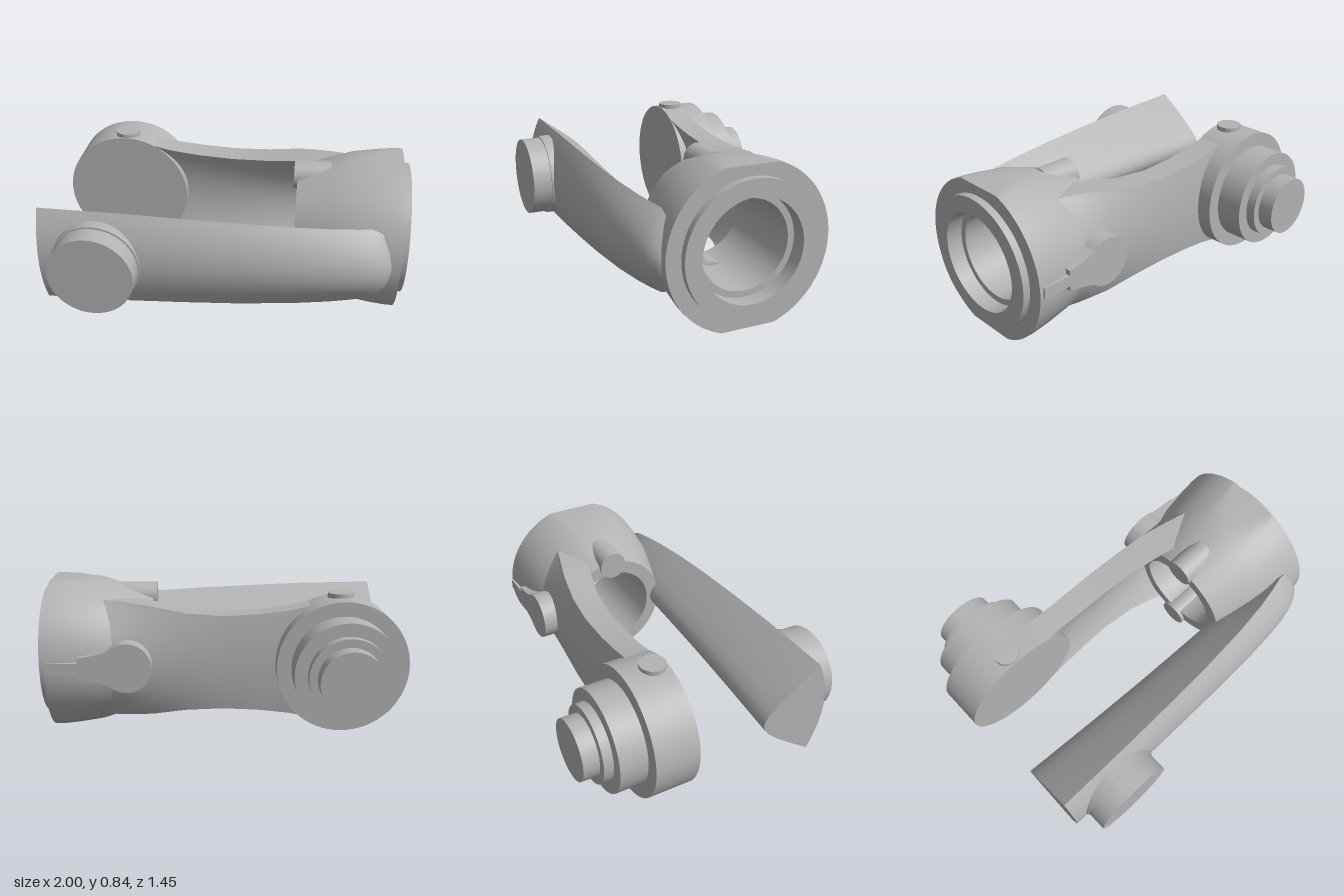
import * as THREE from 'three';
import { toCreasedNormals } from 'three/addons/utils/BufferGeometryUtils.js';

const CY = 0.425; // height of the main axis
const HUB_Z = 0.025; // bore axis
const PIVOT_X = -0.64; // fork pivot axis

// Skin closed sections lying in planes of constant x.
// front(s, t) and back(s, t) give z across the height, t from -1 to 1.
function loft(stations, front, back, n = 28) {
  const pos = [];
  const rows = stations.map((s) => {
    const f = [], b = [];
    for (let j = 0; j <= n; j++) {
      const t = -1 + (2 * j) / n;
      f.push([s.x, CY + s.h * t, front(s, t)]);
      b.push([s.x, CY + s.h * t, back(s, t)]);
    }
    return { f, b };
  });
  const quad = (a, b, c, d) => pos.push(...a, ...b, ...c, ...a, ...c, ...d);
  const last = rows.length - 1;
  for (let i = 0; i < last; i++) {
    const p = rows[i], q = rows[i + 1];
    for (let j = 0; j < n; j++) {
      quad(p.f[j], q.f[j], q.f[j + 1], p.f[j + 1]);
      quad(p.b[j], p.b[j + 1], q.b[j + 1], q.b[j]);
    }
    // top and bottom edge walls
    quad(p.f[n], q.f[n], q.b[n], p.b[n]);
    quad(p.f[0], p.b[0], q.b[0], q.f[0]);
  }
  for (let j = 0; j < n; j++) {
    const p = rows[0], q = rows[last];
    quad(p.f[j], p.f[j + 1], p.b[j + 1], p.b[j]);
    quad(q.f[j], q.b[j], q.b[j + 1], q.f[j + 1]);
  }
  const g = new THREE.BufferGeometry();
  g.setAttribute('position', new THREE.Float32BufferAttribute(pos, 3));
  return toCreasedNormals(g, 0.5);
}

export function createModel() {
  const model = new THREE.Group();
  model.name = 'forkedJoint';
  const metal = new THREE.MeshStandardMaterial({ color: 0xb3b3b3 });
  metal.name = 'grey metal';

  const add = (name, geometry) => {
    const mesh = new THREE.Mesh(geometry, metal);
    mesh.name = name;
    model.add(mesh);
    return mesh;
  };
  // Cylinder along z between two depths
  const discZ = (name, r, z0, z1, x = PIVOT_X) => {
    const g = new THREE.CylinderGeometry(r, r, Math.abs(z1 - z0), 64);
    g.rotateX(Math.PI / 2);
    add(name, g).position.set(x, CY, (z0 + z1) / 2);
  };

  // Hub: turned sleeve with counterbore and collar, flattened top and bottom
  const profile = [
    [0.24, 0.39], [0.315, 0.39], [0.355, 0.5], [0.387, 0.6], [0.415, 0.69],
    [0.436, 0.83], [0.445, 0.92], [0.445, 0.96], [0.365, 0.96], [0.365, 1],
    [0.275, 1], [0.275, 0.91], [0.24, 0.91], [0.24, 0.39],
  ].map(([r, x]) => new THREE.Vector2(r, x));
  const hub = new THREE.LatheGeometry(profile, 128);
  hub.rotateZ(-Math.PI / 2);
  const hp = hub.attributes.position;
  for (let i = 0; i < hp.count; i++) {
    hp.setY(i, THREE.MathUtils.clamp(hp.getY(i), -0.42, 0.42));
  }
  add('hub', toCreasedNormals(hub, 0.4)).position.set(0, CY, HUB_Z);

  // Front arm: lens section with flared inner side, rounding into the hub
  // columns: x, half height, outer z, sharp edge z, inner z
  const frontStations = [
    [-0.95, 0.287, 0.602, 0.53, 0.22], [-0.5, 0.281, 0.602, 0.526, 0.25],
    [-0.2, 0.27, 0.602, 0.52, 0.267], [0.1, 0.258, 0.602, 0.51, 0.28],
    [0.4, 0.243, 0.597, 0.49, 0.29], [0.6, 0.232, 0.585, 0.465, 0.3],
    [0.72, 0.225, 0.57, 0.442, 0.31], [0.8, 0.219, 0.552, 0.422, 0.32],
    [0.85, 0.195, 0.532, 0.42, 0.33], [0.89, 0.145, 0.505, 0.42, 0.35],
    [0.91, 0.09, 0.475, 0.415, 0.37], [0.92, 0.02, 0.43, 0.41, 0.39],
  ].map(([x, h, out, edge, inn]) => ({ x, h, out, edge, inn }));
  const flare = (t) => (Math.hypot(0.3, t) - 0.3) / (Math.hypot(0.3, 1) - 0.3);
  add('frontArm', loft(
    frontStations,
    (s, t) => s.out + (s.edge - s.out) * t * t,
    (s, t) => s.inn + (s.edge - s.inn) * flare(t),
  ));

  // Front pivot stub
  discZ('frontPivotCollar', 0.24, 0.5, 0.612);
  discZ('frontPivot', 0.23, 0.5, 0.72);

  // Rear arm: waisted curved plate with a hollow inner side
  // columns: x, half height, outer z, outer edge z, inner edge z, hollow z
  const rearStations = [
    [-0.55, 0.335, -0.35, -0.33, -0.192, -0.25], [-0.46, 0.312, -0.35, -0.33, -0.192, -0.25],
    [-0.36, 0.291, -0.35, -0.33, -0.192, -0.25], [-0.2, 0.272, -0.35, -0.332, -0.191, -0.25],
    [0, 0.262, -0.35, -0.33, -0.187, -0.25], [0.2, 0.274, -0.35, -0.315, -0.165, -0.255],
    [0.39, 0.307, -0.35, -0.284, -0.12, -0.265], [0.55, 0.325, -0.358, -0.24, -0.07, -0.27],
    [0.7, 0.33, -0.37, -0.2, -0.02, -0.28],
  ].map(([x, h, out, edge, lip, hollow]) => ({ x, h, out, edge, lip, hollow }));
  add('rearArm', loft(
    rearStations,
    (s, t) => s.hollow + (s.lip - s.hollow) * t * t,
    (s, t) => s.out + (s.edge - s.out) * t * t,
  ));

  // Rear pivot: stepped discs
  [
    ['rearPivotDisc', 0.357, -0.19, -0.435], ['rearPivotStep', 0.279, -0.42, -0.587],
    ['rearPivotRing', 0.21, -0.57, -0.64], ['rearPivotStub', 0.166, -0.62, -0.728],
  ].forEach(([name, r, z0, z1]) => discZ(name, r, z0, z1));

  for (const side of [1, -1]) {
    // Small plugs above and below the rear disc
    add('pivotPlug', new THREE.CylinderGeometry(0.07, 0.07, 0.08, 40))
      .position.set(PIVOT_X, CY + side * 0.337, -0.265);

    // Round bosses along the hub
    const boss = new THREE.CylinderGeometry(0.08, 0.08, 0.2, 40);
    boss.rotateZ(Math.PI / 2);
    add('hubBoss', boss).position.set(0.47, CY + side * 0.305, HUB_Z);
  }

  // Keyhole-shaped pad on the back of the hub
  const pad = new THREE.Shape();
  pad.moveTo(0.61, -0.1);
  pad.quadraticCurveTo(0.68, -0.07, 0.78, -0.06);
  pad.lineTo(0.78, -0.03);
  pad.lineTo(0.94, -0.03);
  pad.lineTo(0.94, 0.03);
  pad.lineTo(0.78, 0.03);
  pad.lineTo(0.78, 0.06);
  pad.quadraticCurveTo(0.68, 0.07, 0.61, 0.1);
  pad.absarc(0.52, 0, 0.135, 0.84, Math.PI * 2 - 0.84, false);
  add('rearPad', toCreasedNormals(new THREE.ExtrudeGeometry(pad, {
    depth: 0.13, bevelEnabled: false, curveSegments: 32,
  }), 0.5)).position.set(0, CY, -0.43);

  return model;
}
